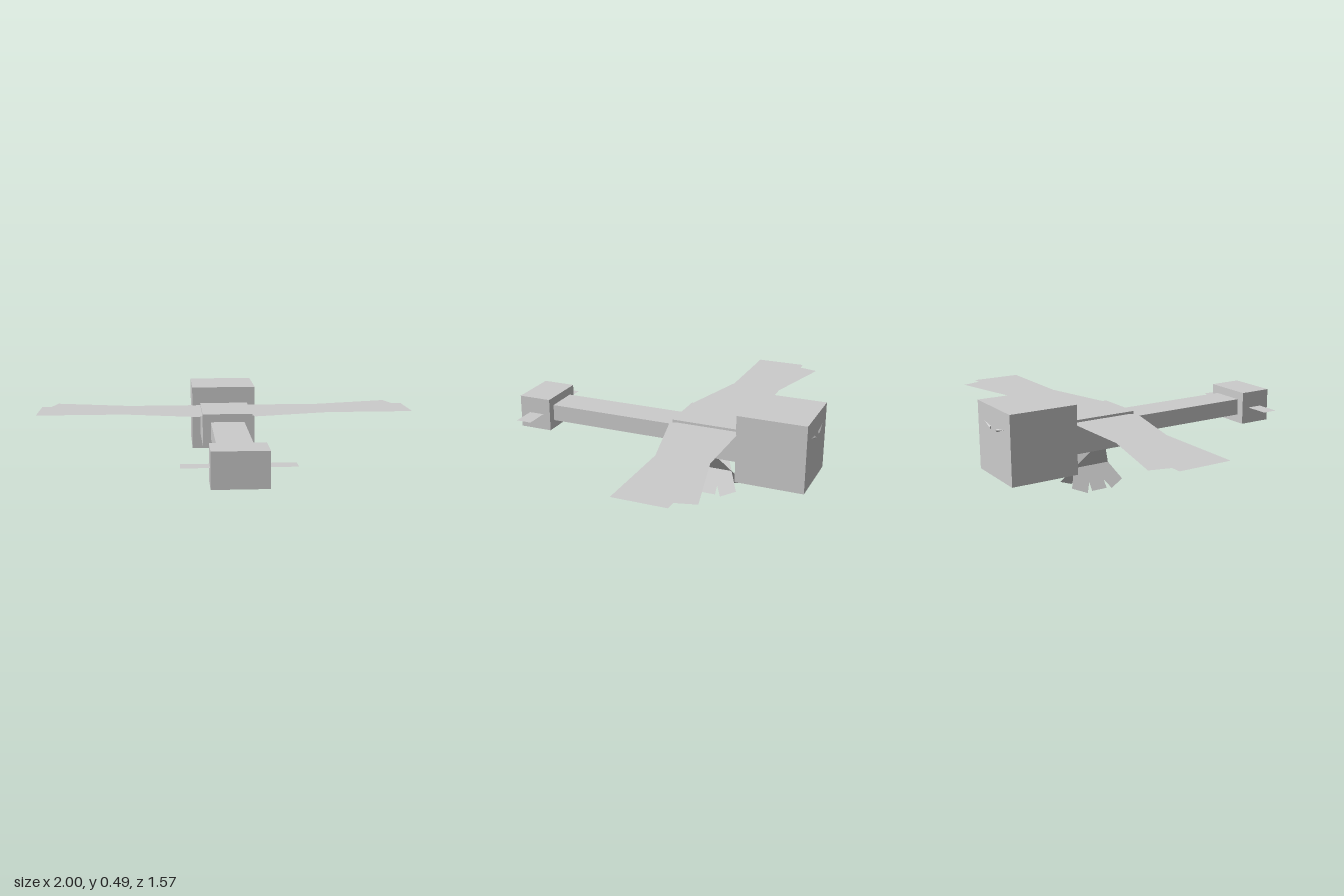
import * as THREE from 'three';

const solid = new THREE.MeshStandardMaterial({ color: 0xcccccc, flatShading: true });
const sheet = new THREE.MeshStandardMaterial({ color: 0xcccccc, flatShading: true, side: THREE.DoubleSide });

// Box given by half width and its y and z ranges
function block(name, halfX, y0, y1, z0, z1) {
  const mesh = new THREE.Mesh(new THREE.BoxGeometry(2 * halfX, y1 - y0, z1 - z0), solid);
  mesh.position.set(0, (y0 + y1) / 2, (z0 + z1) / 2);
  mesh.name = name;
  return mesh;
}

function outline(points) {
  return new THREE.ShapeGeometry(new THREE.Shape(points.map(([a, b]) => new THREE.Vector2(a, b))));
}

// Flat horizontal sheet from (x, z) points
function flatSheet(name, points, y) {
  const mesh = new THREE.Mesh(outline(points).rotateX(Math.PI / 2), sheet);
  mesh.position.y = y;
  mesh.name = name;
  return mesh;
}

export function createModel() {
  const model = new THREE.Group();
  model.name = 'dragonfly';

  // Body
  model.add(
    block('head', 0.174, 0.143, 0.488, -0.777, -0.43),
    block('thorax', 0.13, 0.23, 0.4, -0.43, -0.083),
    block('abdomen', 0.088, 0.273, 0.358, -0.083, 0.615),
    block('tailTip', 0.13, 0.23, 0.4, 0.615, 0.787)
  );

  const wing = [
    [0.13, -0.433], [0.525, -0.433], [0.922, -0.532], [0.948, -0.433], [1, -0.433],
    [1, -0.173], [0.54, -0.173], [0.147, -0.075], [0.13, -0.11]
  ];
  const fin = [[0.13, 0.655], [0.26, 0.655], [0.26, 0.735], [0.13, 0.735]];

  // Half outline of the leg fan: offset from its middle line, height
  const fanHalf = [[0.061, 0.23], [0.046, 0.207], [0.146, 0.034], [0.07, 0.003], [0.042, 0.046], [0.042, 0.008]];
  const fan = [...fanHalf, ...fanHalf.map(([a, y]) => [-a, y]).reverse()];

  for (const side of [1, -1]) {
    const label = side > 0 ? 'left' : 'right';
    const mirror = pts => pts.map(([x, z]) => [side * x, z]);
    model.add(flatSheet(label + 'Wing', mirror(wing), 0.388));
    model.add(flatSheet(label + 'TailFin', mirror(fin), 0.315));

    // Leg sheets lean across each other in an X
    const legGeo = outline(fan);
    const p = legGeo.attributes.position;
    for (let i = 0; i < p.count; i++) {
      const a = p.getX(i), y = p.getY(i);
      p.setXYZ(i, side * 0.75 * (0.115 - y), y, -0.255 + a);
    }
    legGeo.computeVertexNormals();
    const legs = new THREE.Mesh(legGeo, sheet);
    legs.name = label + 'Legs';
    model.add(legs);

    // Slanted eye spike, thick at the inner end
    const eye = new THREE.Mesh(new THREE.ConeGeometry(0.008, 0.075, 4), solid);
    eye.position.set(side * 0.069, 0.392, -0.777);
    eye.rotation.z = -side * (Math.PI / 2 - 0.25);
    eye.name = label + 'Eye';
    model.add(eye);
  }
  return model;
}
